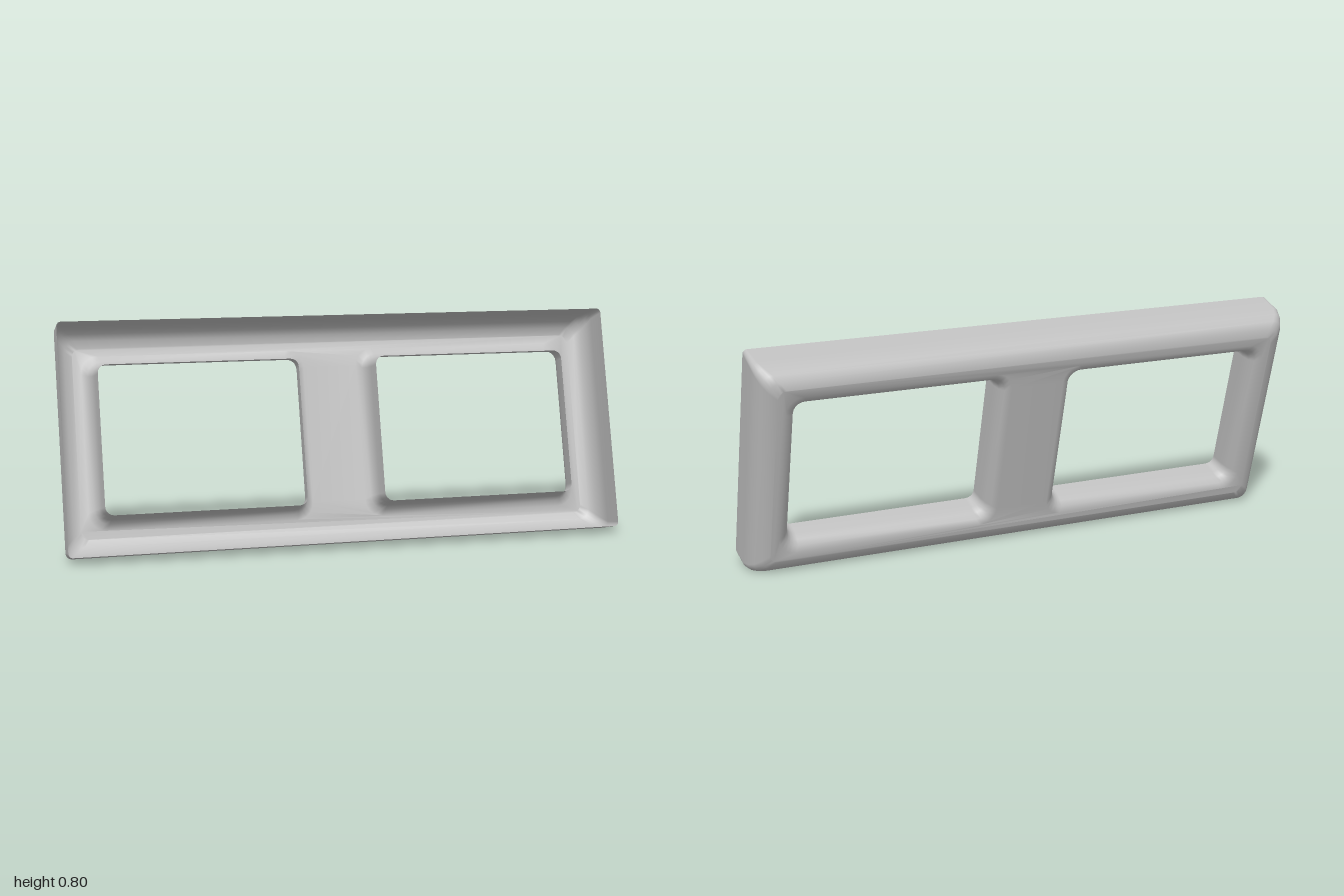
import * as THREE from 'three';
import { mergeGeometries, mergeVertices } from 'three/addons/utils/BufferGeometryUtils.js';

const W = 1.984, H = 0.8;        // outer frame size
const BORDER = 0.14;             // frame edge to window lip
const MULLION = 0.142;           // half width of the centre bar at the lips

// Rounded rectangle as a counter-clockwise ring of points
function ring(x0, x1, y0, y1, r, n = 5) {
  const pts = [];
  [[x1 - r, y0 + r, -0.5], [x1 - r, y1 - r, 0], [x0 + r, y1 - r, 0.5], [x0 + r, y0 + r, 1]].forEach(([cx, cy, a]) => {
    for (let i = 0; i <= n; i++) {
      const t = (a + 0.5 * i / n) * Math.PI;
      pts.push(new THREE.Vector2(cx + r * Math.cos(t), cy + r * Math.sin(t)));
    }
  });
  return pts;
}

// Skin a list of { pts, z } rings
function loft(rings, flip) {
  const n = rings[0].pts.length, pos = [], idx = [];
  rings.forEach(({ pts, z }) => pts.forEach(p => pos.push(p.x, p.y, z)));
  for (let i = 0; i < rings.length - 1; i++) {
    for (let j = 0; j < n; j++) {
      const a = i * n + j, b = i * n + (j + 1) % n, c = a + n, d = b + n;
      if (flip) idx.push(a, c, b, b, c, d);
      else idx.push(a, b, c, b, d, c);
    }
  }
  const g = new THREE.BufferGeometry();
  g.setAttribute('position', new THREE.Float32BufferAttribute(pos, 3));
  g.setIndex(idx);
  return g;
}

export function createModel() {
  const grey = new THREE.MeshStandardMaterial({ color: 0xbfbfbf, side: THREE.DoubleSide });
  grey.name = 'light grey';

  // Outer wall: inset, depth, corner radius
  const wall = [[0, 0, 0.015], [0, 0.093, 0.022], [0.006, 0.127, 0.03], [0.019, 0.155, 0.035], [0.04, 0.174, 0.035], [0.066, 0.182, 0.03]]
    .map(([e, d, r]) => ({ pts: ring(-W / 2 + e, W / 2 - e, e, H - e, r), z: -d }));

  // Window lips: spread, depth, corner radius; one set per window
  const lips = [-1, 1].map(side => [[0, 0.07, 0.03], [0.004, 0.125, 0.034], [0.011, 0.153, 0.04], [0.024, 0.173, 0.05], [0.045, 0.182, 0.06]]
    .map(([e, d, r]) => {
      const a = side * (MULLION - e), b = side * (W / 2 - BORDER + e);
      return { pts: ring(Math.min(a, b), Math.max(a, b), BORDER - e, H - BORDER + e, r), z: -d };
    }));

  // Flat back joining the wall and both lips
  const shape = new THREE.Shape(wall.at(-1).pts);
  lips.forEach(l => shape.holes.push(new THREE.Path(l.at(-1).pts)));
  const back = new THREE.ShapeGeometry(shape);
  back.deleteAttribute('normal');
  back.deleteAttribute('uv');
  const ix = back.index.array;
  for (let i = 0; i < ix.length; i += 3) [ix[i], ix[i + 1]] = [ix[i + 1], ix[i]];
  back.translate(0, 0, wall.at(-1).z);

  // One continuous smooth sheet
  const sheet = mergeVertices(mergeGeometries([loft(wall, true), back, ...lips.map(l => loft(l, false))]), 1e-4);
  sheet.computeVertexNormals();
  const frame = new THREE.Mesh(sheet, grey);
  frame.name = 'doubleWindowBezel';
  frame.rotation.set(-0.267, -0.108, 0, 'YXZ');   // leaned back and turned slightly

  const group = new THREE.Group();
  group.name = 'bezel';
  group.add(frame);

  // Centre and rest on the ground
  const box = new THREE.Box3().setFromObject(group, true);
  const c = box.getCenter(new THREE.Vector3());
  frame.position.set(-c.x, -box.min.y, -c.z);
  return group;
}
